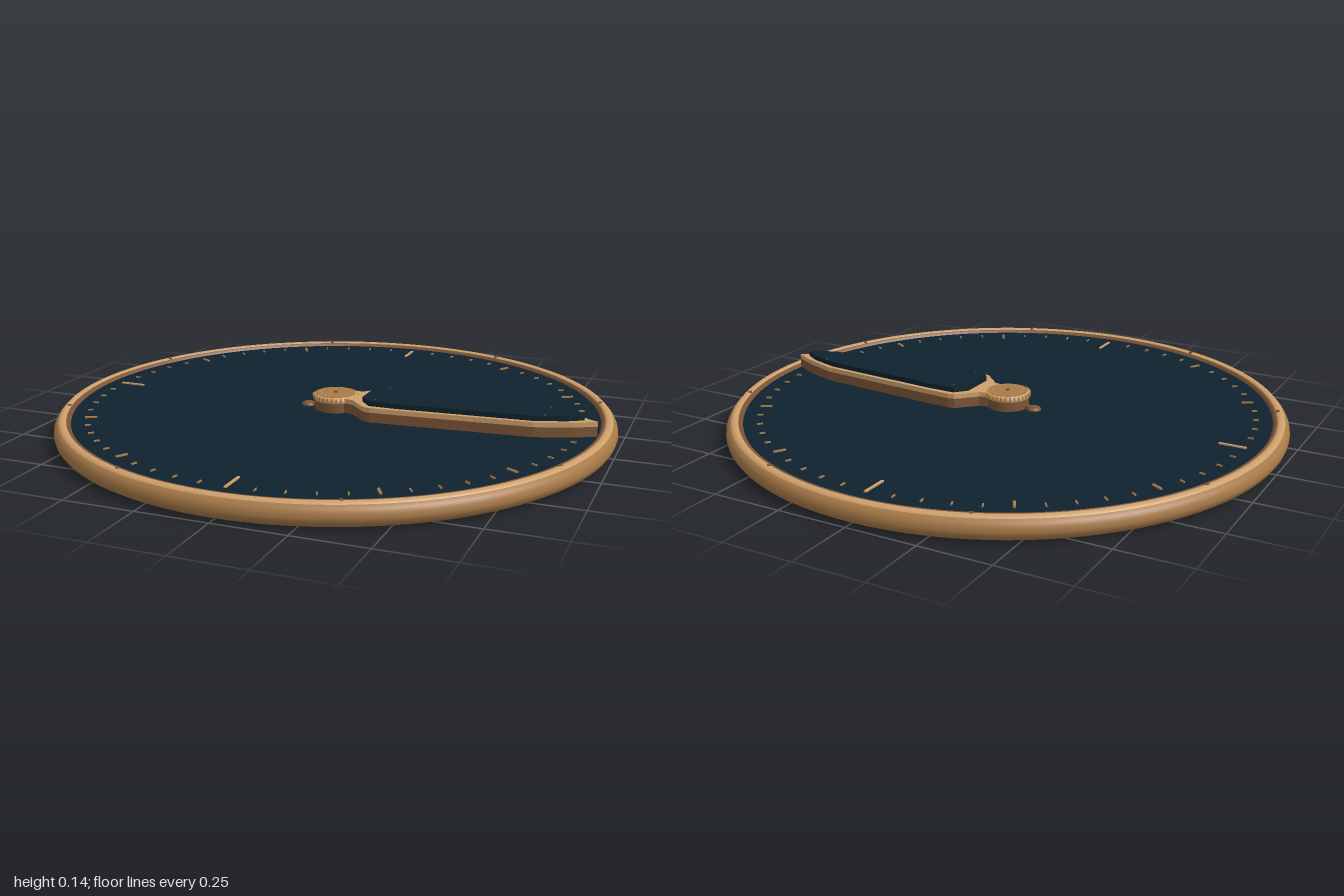
import * as THREE from 'three';

const mat = (name, color) => {
  const m = new THREE.MeshStandardMaterial({ color });
  m.name = name;
  return m;
};

export function createModel() {
  const bronze = mat('bronze', 0xa87a48);
  const tan = mat('pale bronze', 0xcda06c);
  const copper = mat('dark copper', 0x7c5436);
  const navy = mat('dial navy', 0x0e222e);
  const dark = mat('dark backing', 0x251b18);

  const root = new THREE.Group();
  root.name = 'dial';
  const add = (name, geo, material, x = 0, y = 0, z = 0, parent = root) => {
    const mesh = new THREE.Mesh(geo, material);
    mesh.name = name;
    mesh.position.set(x, y, z);
    parent.add(mesh);
    return mesh;
  };
  const disc = (r, h, n = 64) => new THREE.CylinderGeometry(r, r, h, n);
  const lathe = (pts, n = 128) => new THREE.LatheGeometry(pts.map(p => new THREE.Vector2(...p)), n);

  // Rounded outer rim, bright bead, dark inner lip
  add('rim', lathe([[0.95, 0], [0.972, 0.005], [0.988, 0.015], [0.997, 0.028], [1, 0.04], [0.998, 0.055],
    [0.992, 0.067], [0.982, 0.077], [0.97, 0.08], [0.955, 0.08], [0.94, 0.07]]), bronze);
  add('rimBead', lathe([[0.982, 0.077], [0.977, 0.083], [0.966, 0.085], [0.957, 0.082], [0.955, 0.079]]), tan);
  add('innerLip', lathe([[0.955, 0.08], [0.951, 0.081], [0.946, 0.08], [0.94, 0.071]]), copper);

  // Dial face and underside
  add('backing', disc(0.951, 0.03, 128), dark, 0, 0.015);
  add('dialFace', disc(0.943, 0.04, 128), navy, 0, 0.051);

  // Sixty marks, longer on the hours and longest on the quarters
  const marks = new THREE.Group();
  marks.name = 'marks';
  root.add(marks);
  for (let i = 0; i < 60; i++) {
    const quarter = i % 15 === 0, hour = i % 5 === 0;
    const len = quarter ? 0.095 : hour ? 0.042 : 0.02;
    const w = quarter ? 0.009 : hour ? 0.009 : 0.005;
    const a = i * Math.PI / 30, r = 0.893 - len / 2;
    const mark = add(quarter ? 'quarterMark' : hour ? 'hourMark' : 'minuteMark',
      new THREE.BoxGeometry(len, 0.006, w), quarter ? tan : bronze,
      Math.cos(a) * r, 0.073, Math.sin(a) * r, marks);
    mark.rotation.y = -a;
  }

  // Eight small rivets around the rim
  for (let i = 0; i < 8; i++) {
    const a = (i + 0.5) * Math.PI / 4;
    add('rimRivet', disc(0.007, 0.008, 10), copper, Math.cos(a) * 0.962, 0.083, Math.sin(a) * 0.962);
  }

  // Pointer: outlines are mirrored about the x axis
  const mirrored = half => half.concat(half.filter(p => p[1] > 0).reverse().map(([x, y]) => [x, -y]));
  const toVec = pts => pts.map(p => new THREE.Vector2(...p));
  const outline = toVec(mirrored([[0.04, 0.052], [0.085, 0.06], [0.15, 0.125], [0.175, 0.13], [0.27, 0.124],
    [0.74, 0.085], [0.87, 0.038], [0.94, 0]]).reverse());
  const window_ = toVec(mirrored([[0.127, 0.065], [0.165, 0.108], [0.27, 0.107], [0.73, 0.07],
    [0.84, 0.034], [0.895, 0]]).reverse());
  const slab = (pts, y0, y1, hole) => {
    const shape = new THREE.Shape(pts);
    if (hole) shape.holes.push(new THREE.Path(hole));
    return new THREE.ExtrudeGeometry(shape, { depth: y1 - y0, bevelEnabled: false })
      .rotateX(-Math.PI / 2).translate(0, y0, 0);
  };
  const pointer = new THREE.Group();
  pointer.name = 'pointer';
  root.add(pointer);
  add('pointerBase', slab(outline, 0.072, 0.107), copper, 0, 0, 0, pointer);
  add('pointerFrame', slab(outline, 0.107, 0.124, window_), tan, 0, 0, 0, pointer);
  add('pointerPanel', slab(window_, 0.107, 0.142), navy, 0, 0, 0, pointer);
  for (const s of [-1, 1])
    for (const [x, z] of [[0.18, 0.08], [0.77, 0.05]])
      add('panelPin', disc(0.004, 0.002, 8), copper, x, 0.142, s * z, pointer);

  // Hub with a notched edge, small studs and a centre pin
  const hub = new THREE.Group();
  hub.name = 'hub';
  root.add(hub);
  add('hubBase', disc(0.076, 0.04), copper, 0, 0.09, 0, hub);
  add('hubCap', lathe([[0.077, 0.105], [0.082, 0.109], [0.082, 0.12], [0.074, 0.127], [0.068, 0.127]], 64), tan, 0, 0, 0, hub);
  add('hubTop', disc(0.072, 0.02), bronze, 0, 0.118, 0, hub);
  for (let i = 0; i < 32; i++) {
    const a = i * Math.PI / 16;
    const notch = add('hubNotch', new THREE.BoxGeometry(0.01, 0.012, 0.005), bronze,
      Math.cos(a) * 0.079, 0.118, Math.sin(a) * 0.079, hub);
    notch.rotation.y = -a;
    if (i % 2 === 0)
      add('hubStud', disc(0.003, 0.002, 8), tan, Math.cos(a) * 0.056, 0.129, Math.sin(a) * 0.056, hub);
  }
  add('centrePin', disc(0.007, 0.005, 12), copper, 0, 0.13, 0, hub);

  // Short tail knob behind the hub
  add('tailArm', new THREE.BoxGeometry(0.05, 0.014, 0.02), copper, -0.08, 0.076);
  add('tailKnob', new THREE.SphereGeometry(0.026, 24, 16), copper, -0.106, 0.073).scale.y = 0.5;

  return root;
}
